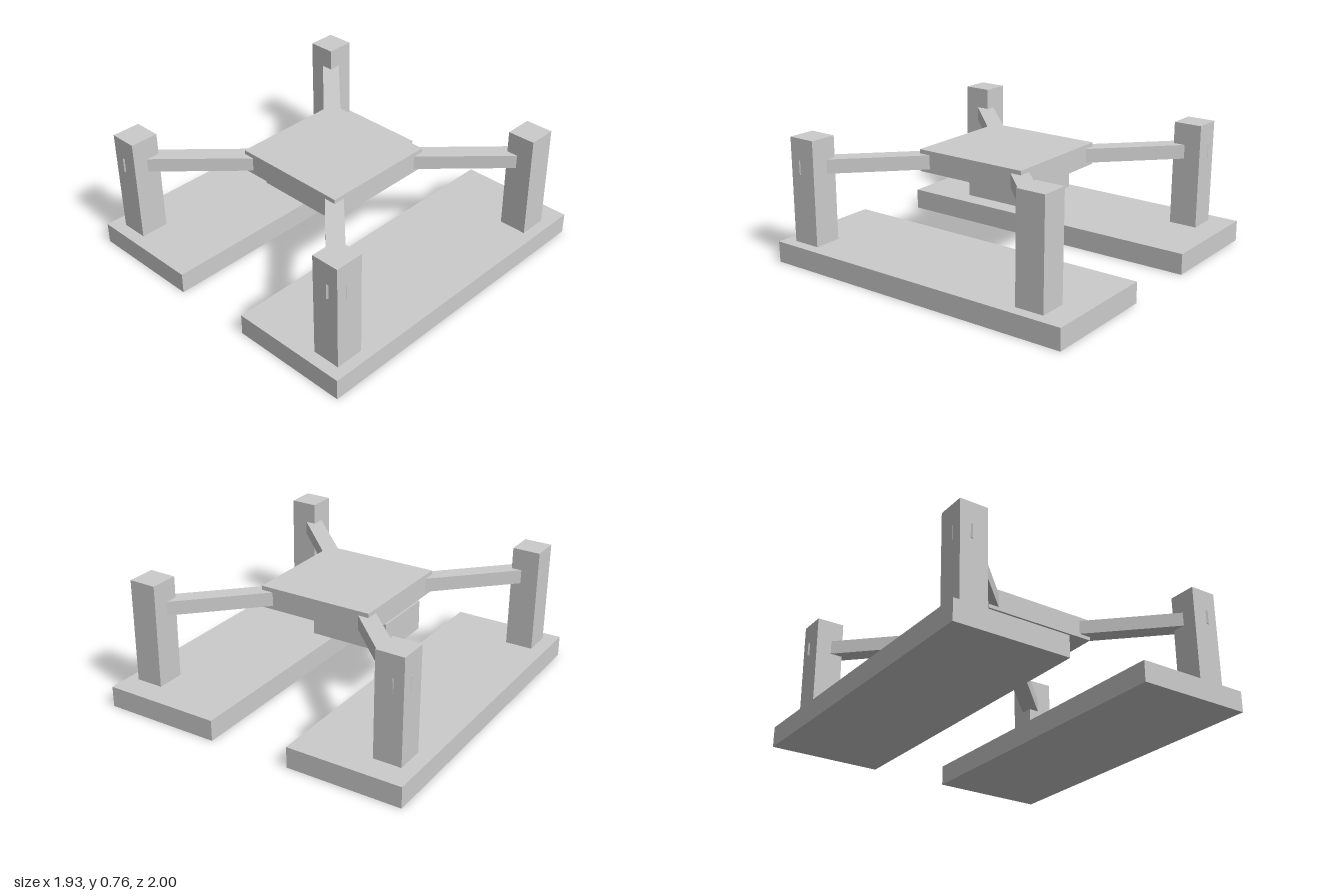
import * as THREE from 'three';

const material = new THREE.MeshStandardMaterial({ color: 0xcccccc, flatShading: true });

export function createModel() {
  const model = new THREE.Group();

  // Axis-aligned block from its min and max on each axis
  const block = (name, [x0, x1], [y0, y1], [z0, z1]) => {
    const mesh = new THREE.Mesh(new THREE.BoxGeometry(x1 - x0, y1 - y0, z1 - z0), material);
    mesh.name = name;
    mesh.position.set((x0 + x1) / 2, (y0 + y1) / 2, (z0 + z1) / 2);
    model.add(mesh);
    return mesh;
  };

  // Two long foot slabs
  block('rightFootSlab', [-0.967, -0.265], [0, 0.127], [-1, 1]);
  block('leftFootSlab', [0.238, 0.963], [0, 0.127], [-1, 1]);

  // Central deck with a smaller box hung beneath it
  block('deck', [-0.355, 0.369], [0.522, 0.655], [-0.323, 0.405]);
  block('underBox', [-0.366, 0.124], [0.342, 0.522], [-0.15, 0.238]);

  // Corner posts, leaning very slightly, each with a diagonal arm whose tip just breaks the outer faces
  const corners = [
    { name: 'frontLeft', post: [0.808, 0.838], tip: [0.859, 0.897] },
    { name: 'frontRight', post: [-0.801, 0.838], tip: [-0.852, 0.896] },
    { name: 'backLeft', post: [0.808, -0.762], tip: [0.854, -0.811] },
    { name: 'backRight', post: [-0.795, -0.762], tip: [-0.853, -0.816] },
  ];
  for (const { name, post: [px, pz], tip: [tx, tz] } of corners) {
    const post = block(name + 'Post', [px - 0.085, px + 0.085], [0.12, 0.76], [pz - 0.0875, pz + 0.0875]);
    post.rotation.z = 0.009;

    // Arm runs at 45 degrees from inside the deck out to its tip
    const length = 0.92;
    const sx = Math.sign(tx), sz = Math.sign(tz);
    const half = length / 2 * Math.SQRT1_2;
    const arm = new THREE.Mesh(new THREE.BoxGeometry(length, 0.085, 0.104), material);
    arm.name = name + 'Arm';
    arm.position.set(tx - sx * half, 0.587, tz - sz * half);
    arm.rotation.y = -sx * sz * Math.PI / 4;
    model.add(arm);
  }
  return model;
}
